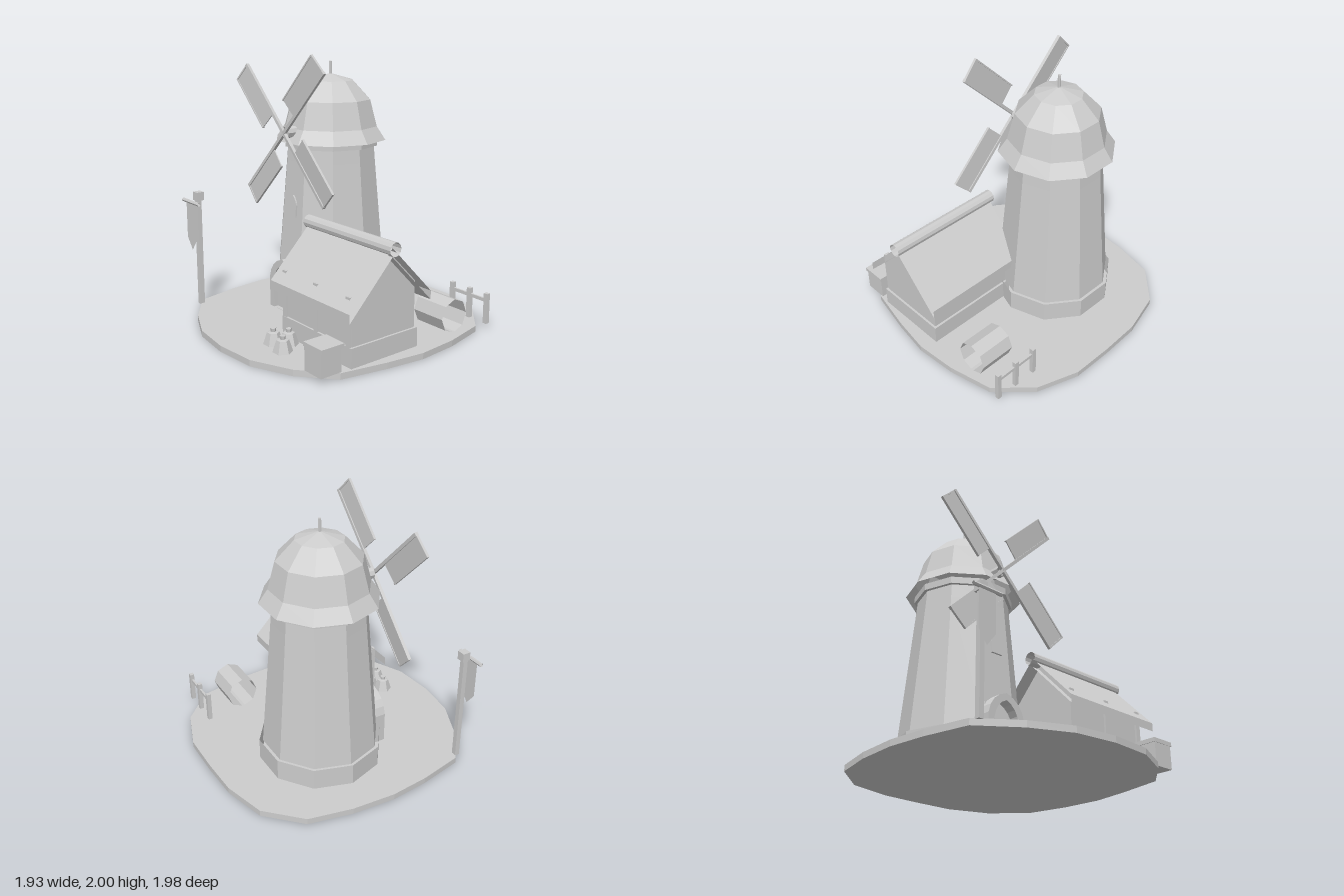
import * as THREE from 'three';

const stone = new THREE.MeshStandardMaterial({ color: 0xcccccc, flatShading: true, side: THREE.DoubleSide });
stone.name = 'pale grey';

export function createModel() {
  const root = new THREE.Group();
  root.name = 'windmill';

  const add = (name, geo, x = 0, y = 0, z = 0, parent = root) => {
    const m = new THREE.Mesh(geo, stone);
    m.name = name;
    m.position.set(x, y, z);
    parent.add(m);
    return m;
  };
  const box = (name, w, h, d, x, y, z, parent) => add(name, new THREE.BoxGeometry(w, h, d), x, y, z, parent);
  const extrude = (shape, depth) => new THREE.ExtrudeGeometry(shape, { depth, bevelEnabled: false, curveSegments: 4 });
  const shapeOf = (pts) => new THREE.Shape(pts.map(([x, y]) => new THREE.Vector2(x, y)));
  // open tube lying along x
  const pipe = (name, r, len, sides, x, y, z) => {
    const g = new THREE.CylinderGeometry(r, r, len, sides, 1, true);
    g.rotateZ(Math.PI / 2);
    return add(name, g, x, y, z);
  };

  // Ground slab
  const rim = [
    [0, -0.99], [0.313, -0.987], [0.625, -0.88], [0.865, -0.648], [0.94, -0.32], [0.965, -0.01], [0.925, 0.28],
    [0.855, 0.622], [0.622, 0.828], [0.322, 0.963], [0, 0.99], [-0.311, 0.953], [-0.593, 0.823], [-0.862, 0.627],
    [-0.933, 0.29], [-0.964, 0], [-0.943, -0.326], [-0.872, -0.652], [-0.632, -0.892], [-0.306, -0.978],
  ];
  const ground = extrude(shapeOf(rim.map(([x, z]) => [x, -z]).reverse()), 0.045);
  ground.rotateX(-Math.PI / 2);
  add('ground', ground);

  // Ten-sided tower with a flat face to the front
  const tower = new THREE.Group();
  tower.name = 'tower';
  tower.position.set(-0.253, 0, -0.188);
  root.add(tower);
  const ring = (name, pts) => {
    const g = new THREE.LatheGeometry(pts.map(([r, y]) => new THREE.Vector2(r, y)), 10, Math.PI / 10);
    return add(name, g, 0, 0, 0, tower);
  };
  ring('plinth', [[0.46, 0.045], [0.46, 0.205]]);
  ring('towerWall', [[0.434, 0.2], [0.347, 1.19], [0.338, 1.3]]);
  ring('collar', [[0.338, 1.295], [0.362, 1.295], [0.362, 1.345], [0.338, 1.345]]);
  ring('cap', [[0.427, 1.34], [0.36, 1.44], [0.307, 1.64], [0.174, 1.78], [0, 1.83]]);
  add('finial', new THREE.CylinderGeometry(0.012, 0.012, 0.12, 6), 0, 1.86, 0, tower);

  // Arched doorway and window
  const arch = (w, spring, top, bottom) => {
    const s = new THREE.Shape();
    s.moveTo(-w, bottom);
    s.lineTo(w, bottom);
    s.lineTo(w, spring);
    s.quadraticCurveTo(w * 0.85, top - 0.035, 0, top);
    s.quadraticCurveTo(-w * 0.85, top - 0.035, -w, spring);
    s.closePath();
    return s;
  };
  const frame = arch(0.16, 0.29, 0.46, 0.055);
  frame.holes.push(arch(0.108, 0.27, 0.41, 0.056));
  add('doorFrame', extrude(frame, 0.135), -0.25, 0, 0.15);
  const pane = add('window', extrude(arch(0.046, 0.09, 0.162, 0), 0.024), -0.25, 0.78, 0.165);
  pane.rotation.x = -0.083;

  // Sail cross: arm, cloth and raised battens, slightly pitched, repeated four times
  const sails = new THREE.Group();
  sails.name = 'sails';
  sails.position.set(-0.252, 1.416, 0.248);
  root.add(sails);
  for (let i = 0; i < 4; i++) {
    const sail = new THREE.Group();
    sail.name = 'sail';
    sail.rotation.order = 'ZYX';
    sail.rotation.set(0.08, 0, Math.PI / 4 + (i * Math.PI) / 2);
    sails.add(sail);
    box('sailArm', 0.665, 0.024, 0.024, 0.3325, 0, 0, sail);
    box('sailCloth', 0.47, 0.16, 0.008, 0.42, 0.083, 0, sail);
    box('sailEndBatten', 0.012, 0.18, 0.018, 0.658, 0.078, 0, sail);
    box('sailSideBatten', 0.475, 0.01, 0.018, 0.42, 0.163, 0, sail);
  }
  const axle = new THREE.CylinderGeometry(0.042, 0.042, 0.09, 8, 1, true);
  axle.rotateX(Math.PI / 2);
  add('axleHousing', axle, -0.252, 1.42, 0.19);
  box('axle', 0.022, 0.022, 0.12, -0.252, 1.416, 0.2);

  // House walls, footing and the front posts whose tops pierce the roof
  const gable = extrude(shapeOf([[-0.518, 0.185], [0.04, 0.185], [0.04, 0.522], [-0.238, 0.803], [-0.518, 0.522]]), 0.73);
  gable.rotateY(Math.PI / 2);
  add('houseWalls', gable, 0.108, 0, 0);
  box('houseFooting', 0.755, 0.14, 0.59, 0.477, 0.115, 0.238);
  for (const x of [0.125, 0.477, 0.815]) box('housePost', 0.04, 0.345, 0.033, x, 0.353, 0.516);

  // Roof slopes, folded as open-ended strips: top, fascia, underside
  const strip = (profile, x0, x1) => {
    const pos = [], idx = [];
    profile.forEach(([z, y], i) => {
      pos.push(x0, y, z, x1, y, z);
      if (i) idx.push(2 * i - 2, 2 * i, 2 * i - 1, 2 * i - 1, 2 * i, 2 * i + 1);
    });
    const g = new THREE.BufferGeometry();
    g.setAttribute('position', new THREE.Float32BufferAttribute(pos, 3));
    g.setIndex(idx);
    g.computeVertexNormals();
    return g;
  };
  add('frontRoof', strip([[0.235, 0.815], [0.593, 0.447], [0.593, 0.385], [0.235, 0.753]], 0.048, 0.908));
  add('backRoof', strip([[0.235, 0.753], [-0.125, 0.385], [-0.125, 0.447], [0.235, 0.815]], 0.048, 0.908));
  pipe('ridge', 0.049, 0.915, 12, 0.48, 0.811, 0.235);

  // Crate
  box('crate', 0.17, 0.17, 0.17, 0.76, 0.13, 0.69);
  box('crateLid', 0.188, 0.03, 0.187, 0.763, 0.228, 0.685);

  // Tied sacks
  const sackPts = [[0, 0], [0.071, 0], [0.044, 0.085], [0.018, 0.09], [0.022, 0.115], [0, 0.115]];
  for (const [x, z] of [[0.197, 0.683], [0.348, 0.711], [0.272, 0.605]]) {
    const g = new THREE.LatheGeometry(sackPts.map(([r, y]) => new THREE.Vector2(r, y)), 6, Math.PI / 6);
    add('sack', g, x, 0.045, z);
  }

  // Banner post
  box('bannerPost', 0.037, 0.84, 0.037, -0.815, 0.46, 0.66);
  box('bannerPostCap', 0.06, 0.065, 0.06, -0.813, 0.905, 0.656);
  pipe('bannerRod', 0.014, 0.235, 6, -0.813, 0.866, 0.721);
  const flag = shapeOf([[-0.07, 0.86], [-0.07, 0.58], [0, 0.487], [0.07, 0.58], [0.07, 0.86]]);
  add('banner', new THREE.ShapeGeometry(flag), -0.815, 0, 0.721);

  // Fence
  for (const x of [0.537, 0.708, 0.873]) box('fencePost', 0.032, 0.23, 0.032, x, 0.16, -0.748);
  box('fenceRail', 0.35, 0.025, 0.015, 0.703, 0.22, -0.748);

  // Open barrel on its side
  pipe('barrel', 0.125, 0.277, 8, 0.702, 0.165, -0.44);

  return root;
}
